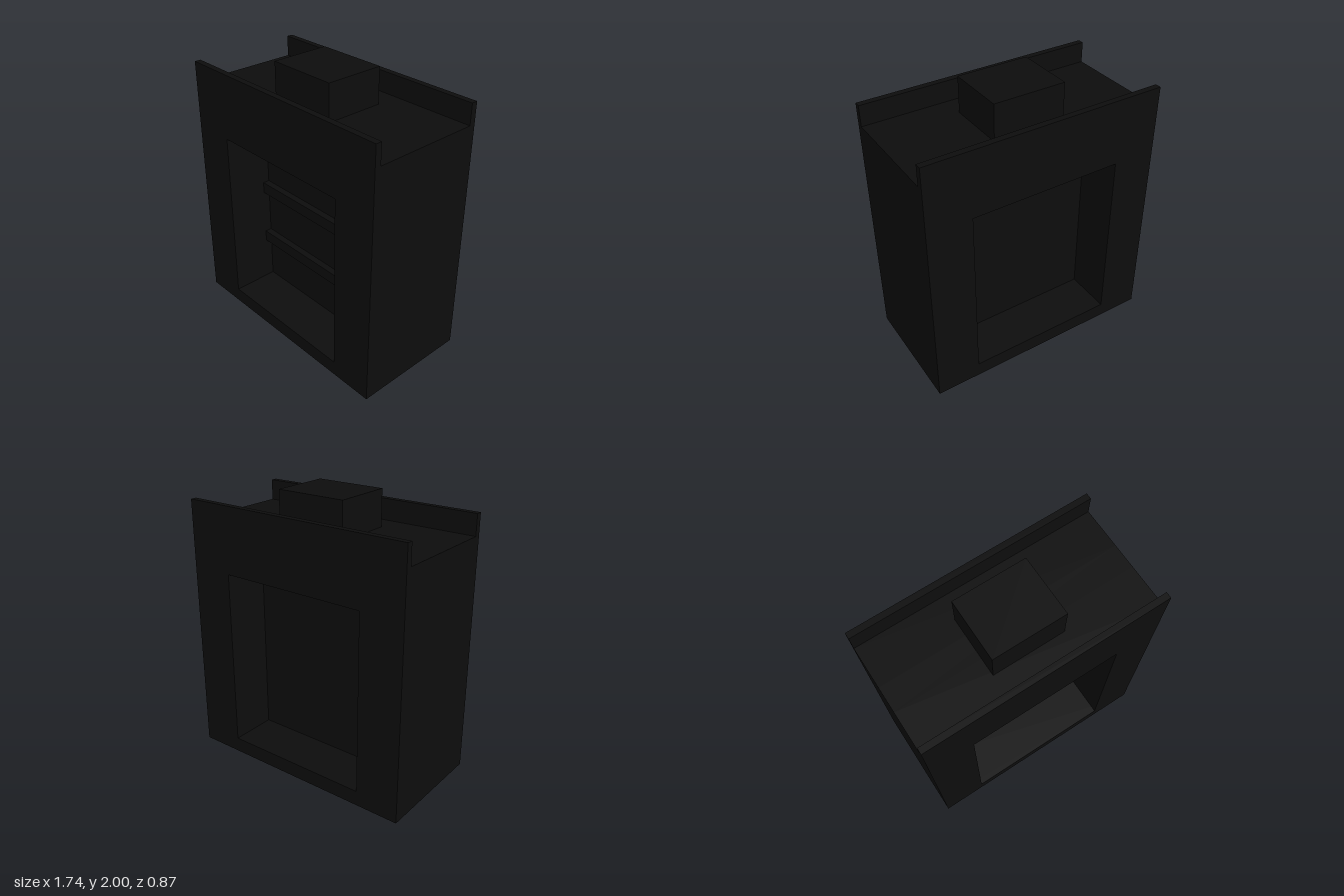
import * as THREE from 'three';

const HALF_W = 0.87, HALF_D = 0.435, PANEL_Z = 0.39, WALL_Z = 0.09;
const DECK_Y = 1.74, PANEL_Y = 1.89;
const OPEN = { x: 0.55, y0: 0.11, y1: 1.41 };

const black = new THREE.MeshStandardMaterial({ color: 0x0d0d0d });
black.name = 'black';

function part(name, geometry, x = 0, y = 0, z = 0) {
  const mesh = new THREE.Mesh(geometry, black);
  mesh.name = name;
  mesh.position.set(x, y, z);
  return mesh;
}

// Box given by its lower and upper y
function block(name, w, y0, y1, d, z = 0) {
  return part(name, new THREE.BoxGeometry(w, y1 - y0, d), 0, (y0 + y1) / 2, z);
}

function rectangle(target, x, y0, y1) {
  target.moveTo(-x, y0);
  target.lineTo(x, y0);
  target.lineTo(x, y1);
  target.lineTo(-x, y1);
  target.closePath();
  return target;
}

// Slab with the rectangular opening cut through it
function frame(name, height, z0, z1) {
  const shape = rectangle(new THREE.Shape(), HALF_W, 0, height);
  shape.holes.push(rectangle(new THREE.Path(), OPEN.x, OPEN.y0, OPEN.y1));
  const geometry = new THREE.ExtrudeGeometry(shape, { depth: z1 - z0, bevelEnabled: false });
  return part(name, geometry, 0, 0, z0);
}

export function createModel() {
  const model = new THREE.Group();
  model.name = 'cabinet';

  // Solid wall behind both recesses
  model.add(block('middleWall', 2 * HALF_W, 0, DECK_Y, 2 * WALL_Z));

  // Recess surround and taller face panel, same on front and back
  for (const [side, turn] of [['front', 0], ['back', Math.PI]]) {
    const half = new THREE.Group();
    half.name = side + 'Half';
    half.rotation.y = turn;
    half.add(frame('recessSurround', DECK_Y, WALL_Z, PANEL_Z));
    half.add(frame('facePanel', PANEL_Y, PANEL_Z, HALF_D));
    model.add(half);
  }

  // Crossbars on the back wall of the front recess
  for (const y of [0.44, 0.87]) {
    model.add(block('crossbar', 2 * OPEN.x, y, y + 0.085, 0.05, WALL_Z + 0.025));
  }

  // Block on the top deck
  model.add(block('topBlock', 0.52, DECK_Y, 2, 0.435));

  return model;
}
